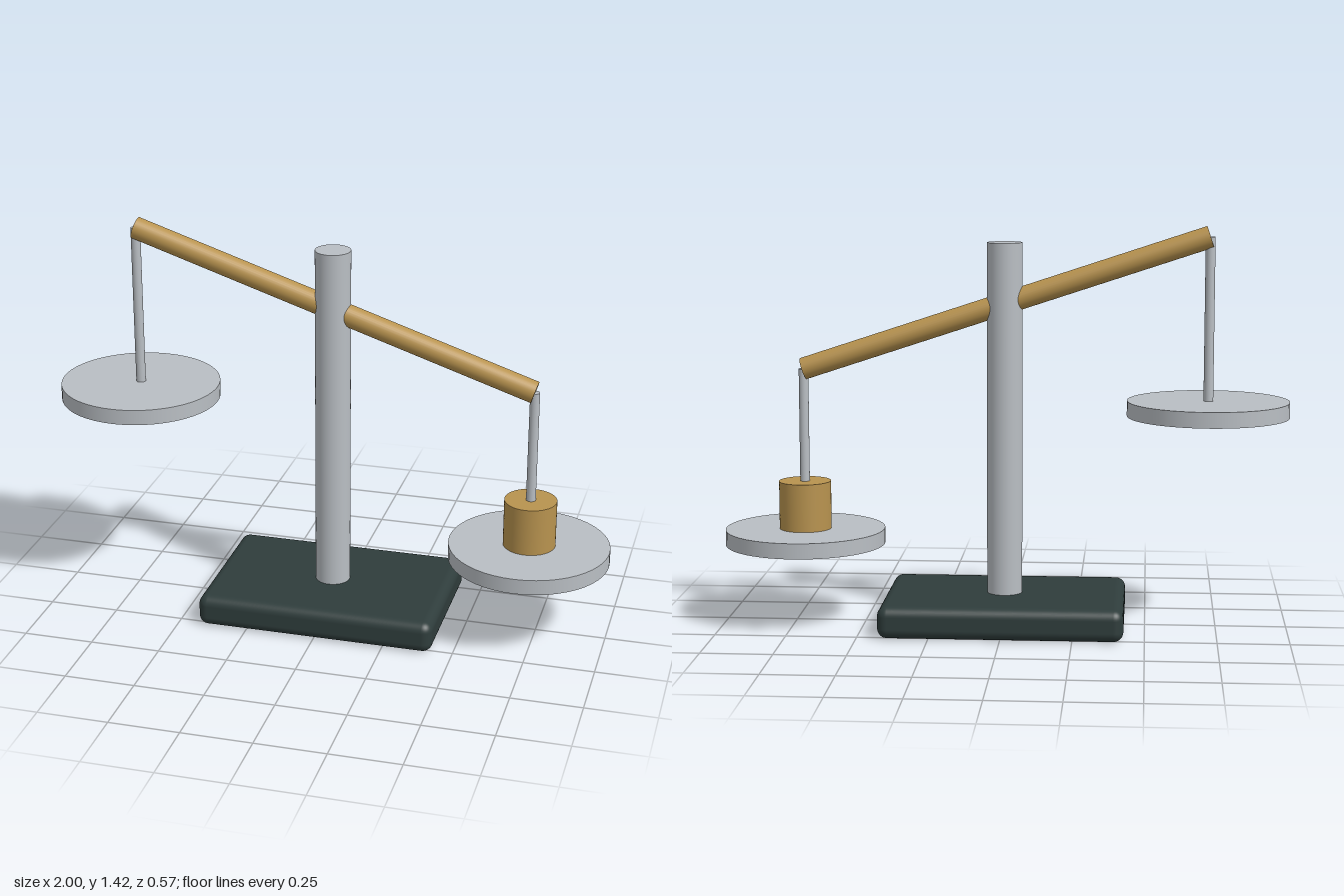
import * as THREE from 'three';
import { RoundedBoxGeometry } from 'three/addons/geometries/RoundedBoxGeometry.js';

export function createModel() {
  const model = new THREE.Group();
  model.name = 'balanceScale';

  const material = (name, color) => {
    const m = new THREE.MeshStandardMaterial({ color });
    m.name = name;
    return m;
  };
  const steel = material('steel', 0xb9bec3);
  const brass = material('brass', 0xb8934f);
  const darkGreen = material('darkGreen', 0x2f3d3c);

  const add = (name, geometry, mat, x, y, parent = model) => {
    const mesh = new THREE.Mesh(geometry, mat);
    mesh.name = name;
    mesh.position.set(x, y, 0);
    parent.add(mesh);
    return mesh;
  };
  // Upright cylinder between two heights
  const rod = (name, radius, y0, y1, mat, x, parent) =>
    add(name, new THREE.CylinderGeometry(radius, radius, y1 - y0, 48), mat, x, (y0 + y1) / 2, parent);

  // Base and post
  add('base', new RoundedBoxGeometry(0.855, 0.113, 0.57, 5, 0.035), darkGreen, 0, 0.0565);
  rod('post', 0.0625, 0.1, 1.36, steel, 0);

  // Tilted beam through the post
  const armX = 0.715, pivotY = 1.146, drop = 0.236;
  const beam = add('beam', new THREE.CylinderGeometry(0.039, 0.039, 2 * Math.hypot(armX, drop), 32), brass, 0, pivotY);
  beam.rotation.z = Math.PI / 2 - Math.atan2(drop, armX);

  // A hanger and pan at each end of the beam
  for (const side of [-1, 1]) {
    const group = new THREE.Group();
    group.name = side < 0 ? 'rightPanAssembly' : 'leftPanAssembly';
    model.add(group);
    const x = side * armX;
    const endY = pivotY - side * drop;
    rod('hanger', 0.017, endY - 0.58, endY, steel, x, group);
    rod('pan', 0.285, endY - 0.629, endY - 0.574, steel, x, group);
    if (side > 0) rod('weight', 0.0925, endY - 0.574, endY - 0.403, brass, x, group);
  }
  return model;
}
